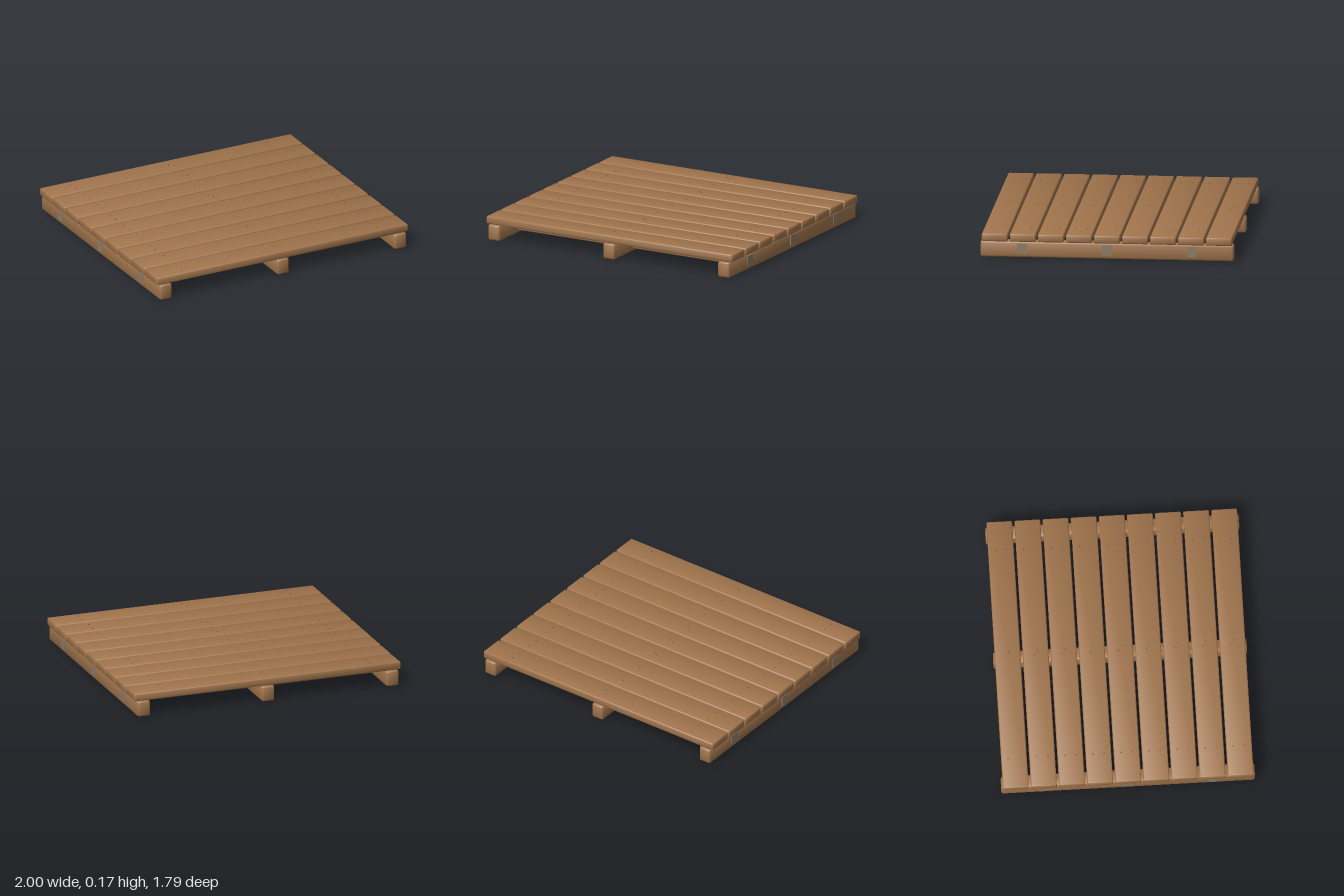
import * as THREE from 'three';
import { RoundedBoxGeometry } from 'three/addons/geometries/RoundedBoxGeometry.js';

const wood = new THREE.MeshStandardMaterial({ color: 0xa0744c });
wood.name = 'wood';
const endGrain = new THREE.MeshStandardMaterial({ color: 0x8c7a66 });
endGrain.name = 'greyEndGrain';
const nailMetal = new THREE.MeshStandardMaterial({ color: 0x6b5a48 });
nailMetal.name = 'nailMetal';

// Timber with worn edges: normals lean outwards so the broad faces shade softly
function timber(w, h, d, r) {
  const geo = new RoundedBoxGeometry(w, h, d, 2, r);
  const p = geo.attributes.position;
  const n = geo.attributes.normal;
  const v = new THREE.Vector3();
  for (let i = 0; i < p.count; i++) {
    v.fromBufferAttribute(n, i);
    v.x += 0.3 * Math.sign(p.getX(i));
    v.y += 0.3 * Math.sign(p.getY(i));
    v.z += 0.3 * Math.sign(p.getZ(i));
    v.normalize();
    n.setXYZ(i, v.x, v.y, v.z);
  }
  return geo;
}

export function createModel() {
  const pallet = new THREE.Group();
  pallet.name = 'pallet';

  function add(name, geo, mat, x, y, z) {
    const mesh = new THREE.Mesh(geo, mat);
    mesh.name = name;
    mesh.position.set(x, y, z);
    pallet.add(mesh);
    return mesh;
  }

  // Deck planks with three pairs of nails each
  const plankGeo = timber(2, 0.056, 0.182, 0.009);
  const nailGeo = new THREE.CylinderGeometry(0.005, 0.005, 0.006, 8);
  const nailSpots = [[-0.78, -0.04], [-0.78, 0.04], [-0.015, -0.012], [0.015, 0.012], [0.78, -0.04], [0.78, 0.04]];
  for (let i = 0; i < 9; i++) {
    const z = (i - 4) * 0.1985;
    add('deckPlank', plankGeo, wood, 0, 0.143, z);
    for (const [nx, nz] of nailSpots) add('nail', nailGeo, nailMetal, nx, 0.17, z + nz);
  }

  // Runners under the deck, front to back
  const runnerGeo = timber(0.094, 0.114, 1.79, 0.014);
  for (const x of [-0.935, 0, 0.935]) add('runner', runnerGeo, wood, x, 0.057, 0);

  // Cross beams let through the runners, with exposed end grain
  const beamGeo = timber(1.95, 0.086, 0.07, 0.006);
  const endGeo = new THREE.BoxGeometry(0.008, 0.074, 0.068);
  for (const z of [-0.6, 0, 0.6]) {
    add('crossBeam', beamGeo, wood, 0, 0.065, z);
    for (const side of [-1, 1]) add('beamEnd', endGeo, endGrain, side * 0.983, 0.064, z);
  }

  return pallet;
}
